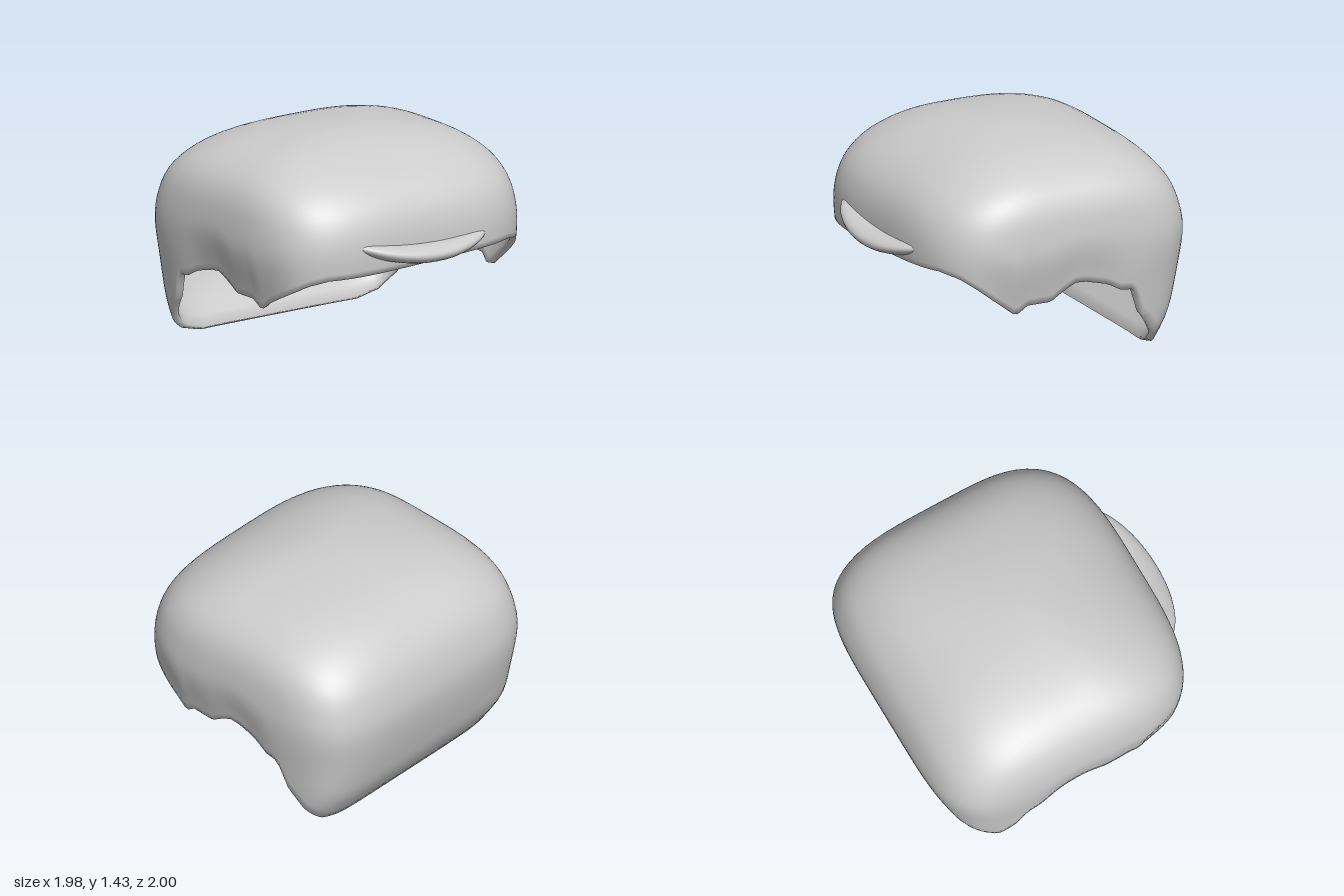
import * as THREE from 'three';
import { mergeVertices } from 'three/addons/utils/BufferGeometryUtils.js';

const { smoothstep } = THREE.MathUtils;
const TOP = 1.435;
// Half-width, front depth and back depth, sampled evenly in sqrt(distance below the crown)
const SIDE = [0, 0.23, 0.46, 0.66, 0.80, 0.90, 0.955, 0.98, 0.99, 0.98, 0.955, 0.93, 0.91];
const FRONT = [0, 0.145, 0.295, 0.455, 0.60, 0.725, 0.815, 0.862, 0.875, 0.862, 0.84, 0.83, 0.82];
const BACK = [0, 0.215, 0.43, 0.61, 0.75, 0.85, 0.93, 0.975, 0.997, 0.98, 0.935, 0.865, 0.72];

// Lower edge: degrees from the front, height
const RIM = [[0, 0.70], [38, 0.70], [45, 0.67], [52, 0.60], [62, 0.485], [67, 0.42], [72, 0.48],
  [83, 0.48], [86.5, 0.52], [92, 0.57], [94, 0.585], [98, 0.58], [107, 0.54], [112, 0.49], [117, 0.48],
  [122, 0.29], [129.5, 0.15], [138, 0.04], [145.5, 0], [180, 0]];

// Smooth lookup through evenly spaced samples, mirrored through the crown
function sample(list, u) {
  const f = THREE.MathUtils.clamp(u * 10, 0, list.length - 1);
  const i = Math.min(Math.floor(f), list.length - 2), t = f - i;
  const p1 = list[i], p2 = list[i + 1];
  const p0 = i ? list[i - 1] : -p2;
  const p3 = i + 2 < list.length ? list[i + 2] : 2 * p2 - p1;
  const m1 = (p2 - p0) / 2, m2 = (p3 - p1) / 2, d = p1 - p2;
  return p1 + t * (m1 + t * (-3 * d - 2 * m1 - m2 + t * (2 * d + m1 + m2)));
}

function rimHeight(phi) {
  const deg = Math.abs(THREE.MathUtils.radToDeg(phi));
  let i = 0;
  while (i < RIM.length - 2 && deg > RIM[i + 1][0]) i++;
  const [a, ya] = RIM[i], [b, yb] = RIM[i + 1];
  const y = ya + (yb - ya) * Math.min((deg - a) / (b - a), 1);
  // The front edge slants slightly
  return y + 0.045 * Math.sin(phi) * (1 - smoothstep(deg, 45, 65));
}

// Point on the rounded-square dome; the front corners are rounder than the back ones
function domePoint(phi, y) {
  const u = Math.sqrt(Math.max(TOP - y, 0));
  const s = Math.sin(phi), c = Math.cos(phi);
  const grow = smoothstep(u, 0, 0.85);
  const n = 2.4 + (c > 0 ? 1.25 * grow : 2.6 * grow + 1.5 * smoothstep(u, 0.9, 1.18));
  const r = 1 / Math.pow(Math.abs(s) ** n + Math.abs(c) ** n, 1 / n);
  return [s * r * sample(SIDE, u), c * r * sample(c > 0 ? FRONT : BACK, u)];
}

// Thin shell: outer surface down to the rim, then the inner surface back up
function shellGeometry() {
  const COLS = 180, ROWS = 32, pos = [], idx = [];
  for (let i = 0; i <= 2 * ROWS + 1; i++) {
    const inner = i > ROWS;
    const t = (inner ? 2 * ROWS + 1 - i : i) / ROWS;
    for (let j = 0; j < COLS; j++) {
      const phi = (j / COLS) * Math.PI * 2 - Math.PI;
      const deg = Math.abs(THREE.MathUtils.radToDeg(phi));
      const y = TOP - (TOP - rimHeight(phi)) * (1 - Math.cos(t * Math.PI / 2));
      const [x, z] = domePoint(phi, y);
      // The side edges curl inwards, and the lip is thicker than the dome
      const lip = smoothstep(t, 0.75, 1);
      const curl = 1 - 0.035 * lip * smoothstep(deg, 45, 65) * (1 - smoothstep(deg, 100, 118));
      const k = inner ? 0.985 - 0.025 * lip : 1;
      const lift = inner ? 0.02 * lip * smoothstep(deg, 40, 120) - 0.015 * (1 - t * t) : 0;
      pos.push(x * k * curl, y + lift, z * k);
    }
  }
  for (let i = 0; i < 2 * ROWS + 1; i++) {
    for (let j = 0; j < COLS; j++) {
      const k = (j + 1) % COLS;
      const a = i * COLS + j, b = a + COLS, c = (i + 1) * COLS + k, d = i * COLS + k;
      idx.push(a, b, d, b, c, d);
    }
  }
  return smooth(pos, idx);
}

function smooth(pos, idx) {
  let g = new THREE.BufferGeometry();
  g.setAttribute('position', new THREE.Float32BufferAttribute(pos, 3));
  g.setIndex(idx);
  g = mergeVertices(g, 1e-5);
  g.computeVertexNormals();
  return g;
}

// Brim: a sphere bent to a half-moon whose straight edge lies inside the shell
function brimGeometry() {
  const g = new THREE.SphereGeometry(1, 24, 32).rotateZ(-Math.PI / 2);
  const p = g.attributes.position;
  for (let i = 0; i < p.count; i++) {
    const s = p.getX(i), w = Math.sqrt(Math.max(1 - s * s, 0));
    const y = 0.77 - 0.025 * s + 0.09 * s * s + p.getY(i) * 0.063;
    const z = 0.72 + 0.14 * w + p.getZ(i) * 0.14;
    p.setXYZ(i, s * 0.55, y, z);
  }
  return smooth(Array.from(p.array), Array.from(g.index.array));
}

export function createModel() {
  const group = new THREE.Group();
  const grey = new THREE.MeshStandardMaterial({ color: 0xcccccc });
  grey.name = 'light grey';

  const shell = new THREE.Mesh(shellGeometry(), grey);
  shell.name = 'shell';
  const brim = new THREE.Mesh(brimGeometry(), grey);
  brim.name = 'brim';
  group.add(shell, brim);
  return group;
}
